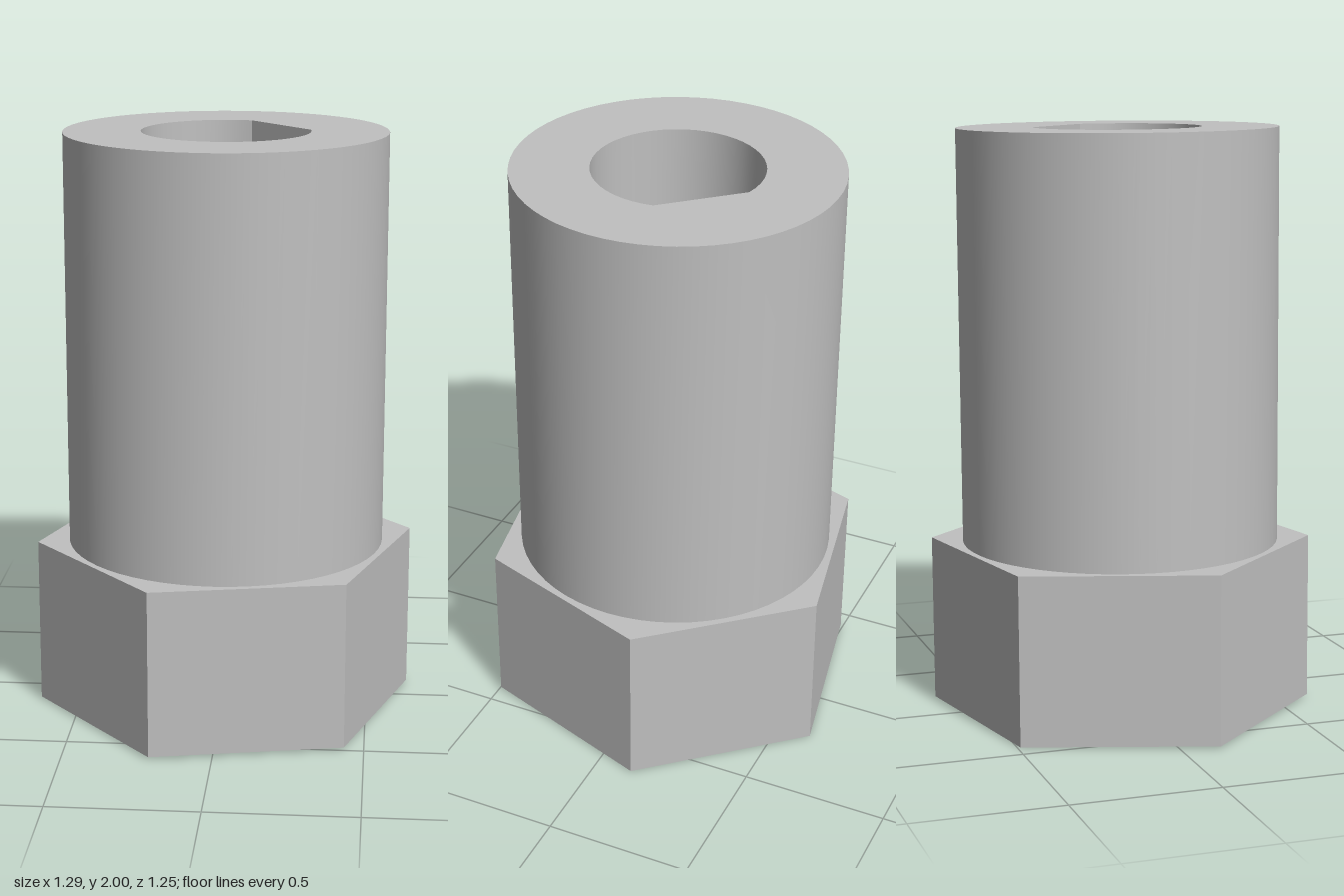
import * as THREE from 'three';
import { toCreasedNormals } from 'three/addons/utils/BufferGeometryUtils.js';

const metal = new THREE.MeshStandardMaterial({ color: 0xc0c0c0 });
metal.name = 'grey metal';

// Points on an arc, angles in degrees, anticlockwise from above
function arc(radius, from, to, steps, closed) {
  const count = closed ? steps : steps + 1;
  return Array.from({ length: count }, (_, i) => {
    const a = THREE.MathUtils.degToRad(from + (to - from) * i / steps);
    return new THREE.Vector2(radius * Math.cos(a), radius * Math.sin(a));
  });
}

// Vertical wall around a closed outline; inward walls line a hole
function wall(name, points, y0, y1, inward = false) {
  const pos = [];
  points.forEach((p, i) => {
    const q = points[(i + 1) % points.length];
    const [a, b] = inward ? [q, p] : [p, q];
    pos.push(a.x, y0, -a.y, b.x, y0, -b.y, b.x, y1, -b.y);
    pos.push(a.x, y0, -a.y, b.x, y1, -b.y, a.x, y1, -a.y);
  });
  const g = new THREE.BufferGeometry();
  g.setAttribute('position', new THREE.Float32BufferAttribute(pos, 3));
  g.computeVertexNormals();
  return part(name, toCreasedNormals(g, 0.4));
}

// Flat face at height y, with an optional hole
function face(name, points, hole, y, down = false) {
  const shape = new THREE.Shape(points);
  if (hole) shape.holes.push(new THREE.Path(hole));
  const g = new THREE.ShapeGeometry(shape);
  g.rotateX(-Math.PI / 2).translate(0, y, 0);
  if (down) {
    g.index.array.reverse();
    g.computeVertexNormals();
  }
  return part(name, g);
}

function part(name, geometry) {
  const mesh = new THREE.Mesh(geometry, metal);
  mesh.name = name;
  return mesh;
}

export function createModel() {
  const hex = arc(0.656, 11.4, 371.4, 6, true);
  const round = arc(0.546, 0, 360, 60, true);
  const dBore = arc(0.285, 76, 368.7, 40, false); // closing segment is the flat
  const bolt = arc(0.191, 0, 360, 40, true);
  const collarTop = 0.575, top = 1.992, boreFloor = 0.99, boltEnd = 0.7;

  const coupling = new THREE.Group();
  coupling.name = 'hexCoupling';
  coupling.add(
    // Hexagonal collar
    wall('collarSides', hex, 0, collarTop),
    face('collarBottom', hex, bolt, 0, true),
    face('collarTop', hex, round, collarTop),
    // Round sleeve
    wall('sleeveSide', round, collarTop, top),
    face('sleeveRim', round, dBore, top),
    // D-shaped blind bore from above
    wall('shaftBore', dBore, boreFloor, top, true),
    face('shaftBoreFloor', dBore, null, boreFloor),
    // Round blind hole from below
    wall('boltHole', bolt, 0, boltEnd, true),
    face('boltHoleEnd', bolt, null, boltEnd, true)
  );

  // The part leans very slightly backwards
  coupling.rotation.x = -0.007;
  coupling.position.set(0, 0.0045, 0.002);

  const model = new THREE.Group();
  model.name = 'model';
  model.add(coupling);
  return model;
}
